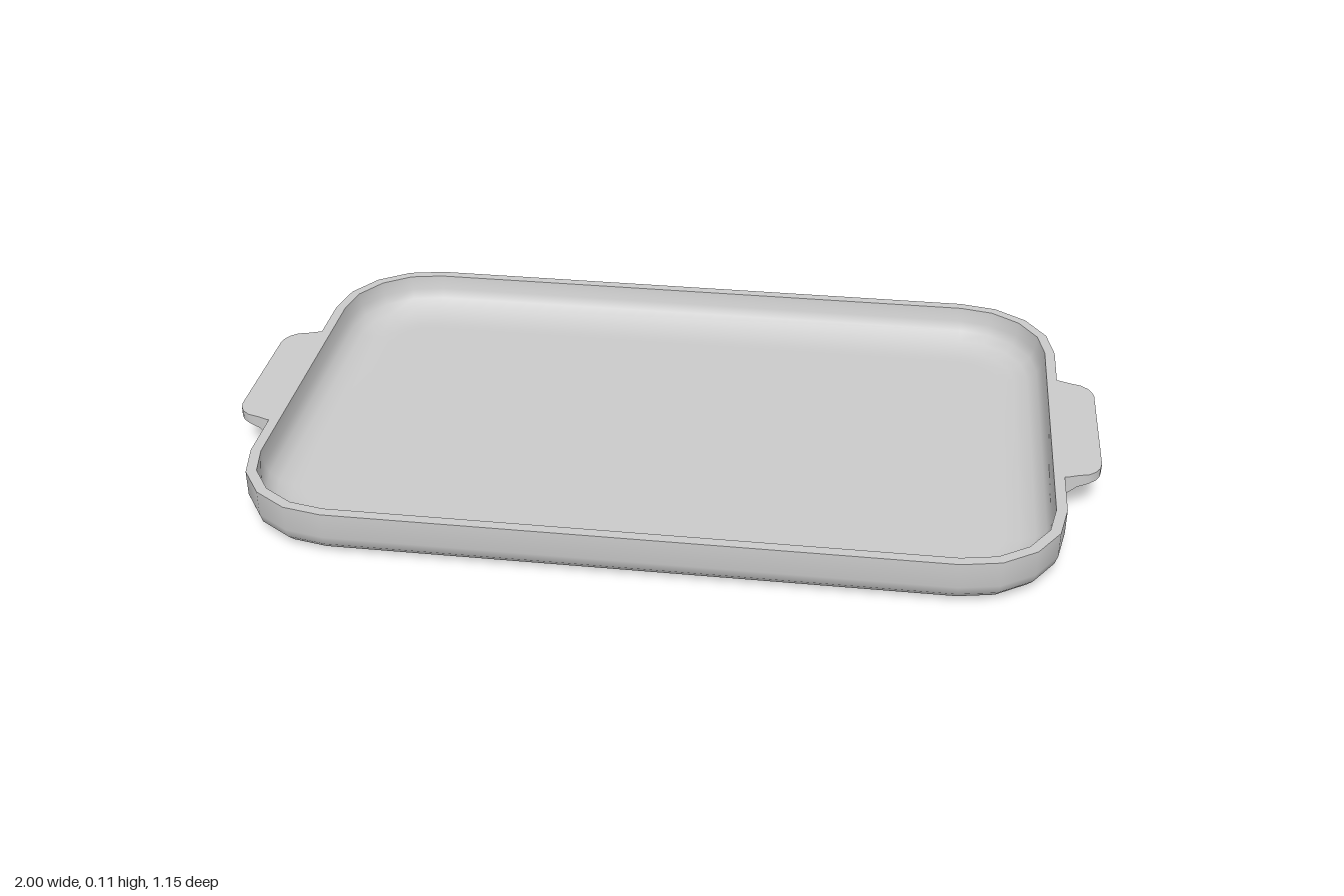
import * as THREE from 'three';
import { toCreasedNormals } from 'three/addons/utils/BufferGeometryUtils.js';

const material = new THREE.MeshStandardMaterial({ color: 0xcccccc });
const HALF_X = 0.915, HALF_Z = 0.575, CORNER = 0.23, HEIGHT = 0.11, CORNER_STEPS = 4;

// Rounded-rectangle ring at height y, moved inward by inset
function trayRing(inset, y) {
  const ring = [], r = CORNER - inset;
  const signs = [[1, 1], [-1, 1], [-1, -1], [1, -1]];
  signs.forEach(([sx, sz], quarter) => {
    for (let i = 0; i <= CORNER_STEPS; i++) {
      const a = (quarter + i / CORNER_STEPS) * Math.PI / 2;
      ring.push([
        sx * (HALF_X - CORNER) + r * Math.cos(a), y,
        sz * (HALF_Z - CORNER) + r * Math.sin(a),
      ]);
    }
  });
  return ring;
}

// Skin a row of equal-length rings, with an optional fan closing the last one
function loft(rings, capEnd, crease) {
  const n = rings[0].length, index = [];
  const points = rings.flat();
  for (let i = 0; i < rings.length - 1; i++) {
    for (let j = 0; j < n; j++) {
      const a = i * n + j, b = i * n + (j + 1) % n;
      index.push(a, a + n, b, b, a + n, b + n);
    }
  }
  if (capEnd) {
    const last = rings[rings.length - 1], start = (rings.length - 1) * n;
    const centre = [0, 1, 2].map(k => last.reduce((s, p) => s + p[k], 0) / n);
    const c = points.push(centre) - 1;
    for (let j = 0; j < n; j++) index.push(start + j, c, start + (j + 1) % n);
  }
  const g = new THREE.BufferGeometry();
  g.setAttribute('position', new THREE.Float32BufferAttribute(points.flat(), 3));
  g.setIndex(index);
  return toCreasedNormals(g, crease);
}

function part(name, geometry) {
  const mesh = new THREE.Mesh(geometry, material);
  mesh.name = name;
  return mesh;
}

export function createModel() {
  const group = new THREE.Group();
  group.name = 'servingTray';

  // Outer wall, rim, inner wall and floor in one sweep: [inset, y]
  const profile = [
    [0.05, 0], [0.022, 0.012], [0.006, 0.029], [0, 0.05], [0, HEIGHT],
    [0.024, HEIGHT], [0.028, 0.075], [0.038, 0.052], [0.06, 0.034],
    [0.092, 0.023], [0.125, 0.02], [0.145, 0.02],
  ];
  group.add(part('trayBody', loft(profile.map(([inset, y]) => trayRing(inset, y)), true, 0.7)));

  // Flat underside
  const base = new THREE.ShapeGeometry(
    new THREE.Shape(trayRing(0.05, 0).map(([x, , z]) => new THREE.Vector2(x, z))));
  base.rotateX(Math.PI / 2);
  group.add(part('base', base));

  // Grip tabs: [x, half width, underside height]
  const sections = [
    [0.908, 0.215, 0.064], [0.922, 0.212, 0.067], [0.945, 0.203, 0.08],
    [0.97, 0.196, 0.086], [0.987, 0.182, 0.087], [0.996, 0.166, 0.087], [1, 0.148, 0.087],
  ];
  const rings = sections.map(([x, w, y]) =>
    [[x, HEIGHT, w], [x, HEIGHT, -w], [x, y, -w], [x, y, w]]);
  const grip = loft(rings, true, 0.6);
  const left = part('leftHandle', grip);
  const right = part('rightHandle', grip);
  right.rotation.y = Math.PI;
  group.add(left, right);

  return group;
}
